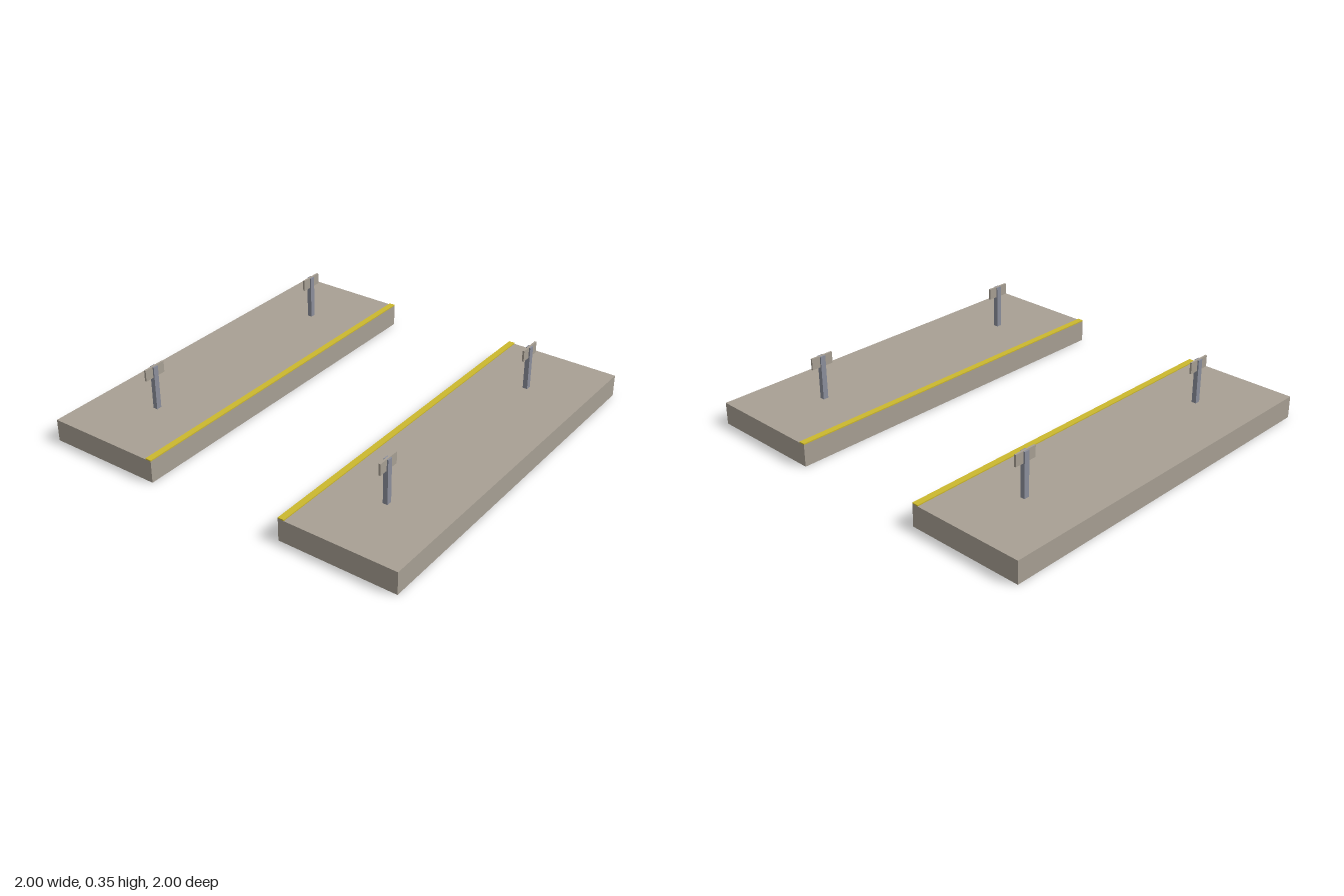
import * as THREE from 'three';

const concrete = new THREE.MeshStandardMaterial({ color: 0xa8a094 });
concrete.name = 'concrete';
const yellow = new THREE.MeshStandardMaterial({ color: 0xccb82e });
yellow.name = 'safetyYellow';
const steel = new THREE.MeshStandardMaterial({ color: 0x8c8f9c });
steel.name = 'steel';

// Box given by its min and max corners
function box(name, material, [x0, y0, z0], [x1, y1, z1]) {
  const mesh = new THREE.Mesh(new THREE.BoxGeometry(x1 - x0, y1 - y0, z1 - z0), material);
  mesh.position.set((x0 + x1) / 2, (y0 + y1) / 2, (z0 + z1) / 2);
  mesh.name = name;
  return mesh;
}

// Post with a thin sign board running along the platform
function signPost(x, z) {
  const group = new THREE.Group();
  group.name = 'signPost';
  group.add(
    box('post', steel, [-0.0125, 0.117, -0.0145], [0.0125, 0.351, 0.0145]),
    box('signBoard', concrete, [-0.005, 0.293, -0.0625], [0.005, 0.353, 0.0625])
  );
  group.position.set(x, 0, z);
  return group;
}

export function createModel() {
  const model = new THREE.Group();
  model.name = 'stationPlatforms';
  for (const side of [1, -1]) {
    const platform = new THREE.Group();
    platform.name = side > 0 ? 'leftPlatform' : 'rightPlatform';
    const span = (a, b) => (side > 0 ? [a, b] : [-b, -a]);

    // Slab
    const [s0, s1] = span(0.375, 1);
    platform.add(box('slab', concrete, [s0, 0, -1], [s1, 0.117, 1]));

    // Raised warning strip along the inner edge
    const [e0, e1] = span(0.375, 0.408);
    platform.add(box('edgeStrip', yellow, [e0, 0.117, -1], [e1, 0.123, 1]));

    for (const z of [-0.625, 0.625]) platform.add(signPost(side * 0.6875, z));
    model.add(platform);
  }
  return model;
}
